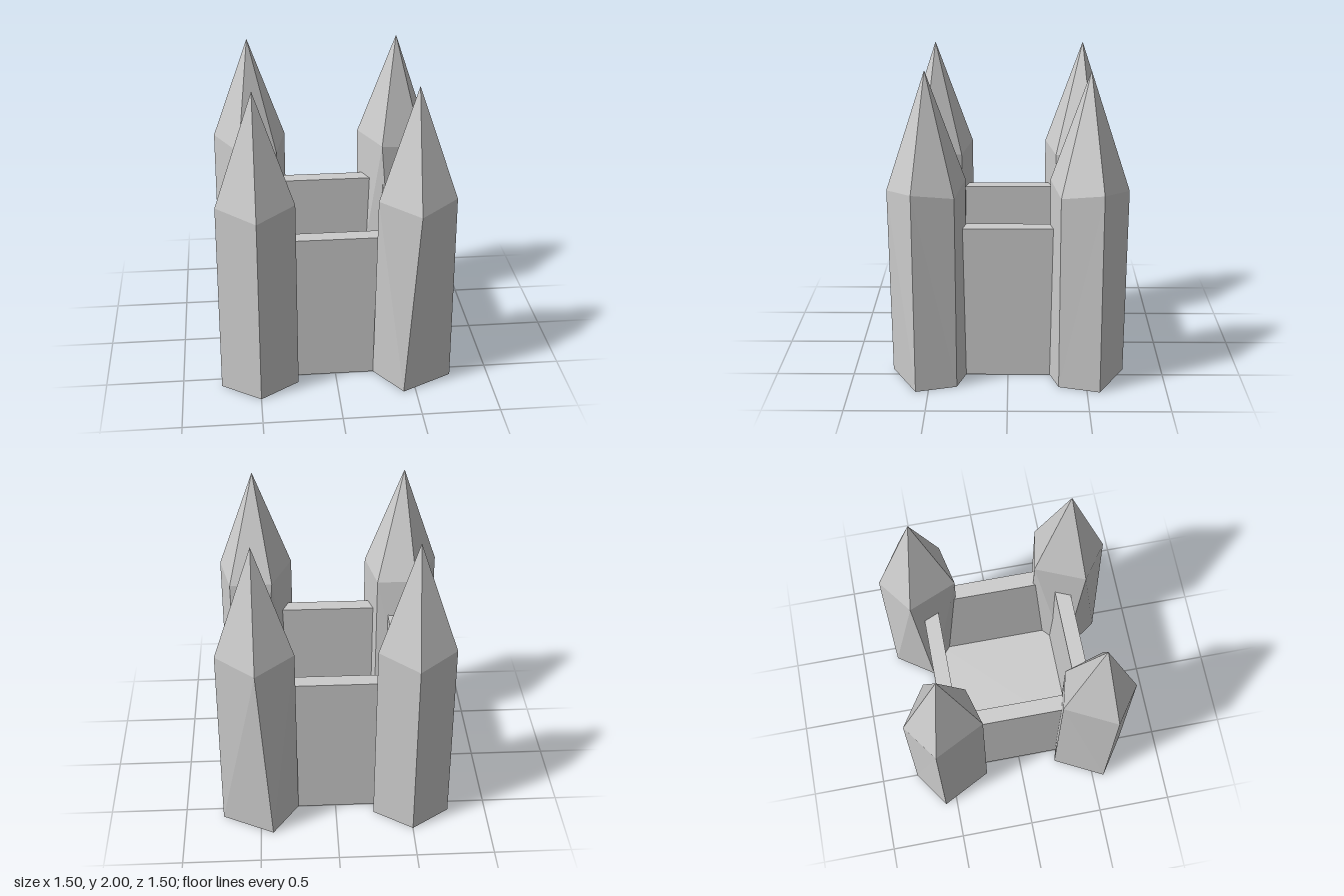
import * as THREE from 'three';

const material = new THREE.MeshStandardMaterial({ color: 0xcccccc, flatShading: true, side: THREE.DoubleSide });

// Five-sided spired tower: foot ring [x, z], eaves ring [x, y, z], apex; mirror = -1 flips front to back
function towerGeometry(foot, eaves, mirror) {
  const pos = [];
  const tri = (a, b, c) => {
    for (const p of mirror > 0 ? [a, b, c] : [a, c, b]) pos.push(p[0], p[1], p[2] * mirror);
  };
  const low = foot.map(([x, z]) => [x, 0, z]);
  const apex = [0, 2, 0];
  const n = low.length;
  for (let i = 0; i < n; i++) {
    const j = (i + 1) % n;
    tri(low[i], low[j], eaves[i]);
    tri(low[j], eaves[j], eaves[i]);
    tri(eaves[i], eaves[j], apex);
    if (i > 0 && j > 0) tri(low[0], low[j], low[i]);
  }
  const geometry = new THREE.BufferGeometry();
  geometry.setAttribute('position', new THREE.Float32BufferAttribute(pos, 3));
  geometry.computeVertexNormals();
  return geometry;
}

export function createModel() {
  const model = new THREE.Group();
  const add = (name, geometry, x, y, z) => {
    const mesh = new THREE.Mesh(geometry, material);
    mesh.name = name;
    mesh.position.set(x, y, z);
    model.add(mesh);
  };

  // Floor and four walls around the courtyard
  add('floor', new THREE.BoxGeometry(1, 0.1, 1), 0, 0.05, 0);
  for (const s of [1, -1]) {
    add(s > 0 ? 'frontWall' : 'backWall', new THREE.BoxGeometry(1, 1, 0.1), 0, 0.5, s * 0.45);
    add(s > 0 ? 'leftWall' : 'rightWall', new THREE.BoxGeometry(0.1, 1, 0.8), s * 0.45, 0.5, 0);
  }

  // Straight towers on the right, twisted-foot towers on the left
  const eaves = (innerX, innerZ) => [
    [0, 1.25, 0.25], [0.244, 1.29, 0.08], [0.175, 1.25, -0.177], [innerX, 1.29, innerZ], [-0.244, 1.29, 0.08],
  ];
  const towers = [
    { side: 'Right', x: -0.5, eaves: eaves(-0.08, -0.244),
      foot: [[0, 0.25], [0.25, 0.08], [0.177, -0.177], [-0.08, -0.25], [-0.25, 0.08]] },
    { side: 'Left', x: 0.5, eaves: eaves(-0.11, -0.235),
      foot: [[-0.08, 0.25], [0.25, 0.08], [0.177, -0.177], [0, -0.23], [-0.25, 0]] },
  ];
  for (const t of towers) {
    for (const s of [1, -1]) {
      add((s > 0 ? 'front' : 'back') + t.side + 'Tower', towerGeometry(t.foot, t.eaves, s), t.x, 0, s * 0.5);
    }
  }
  return model;
}
